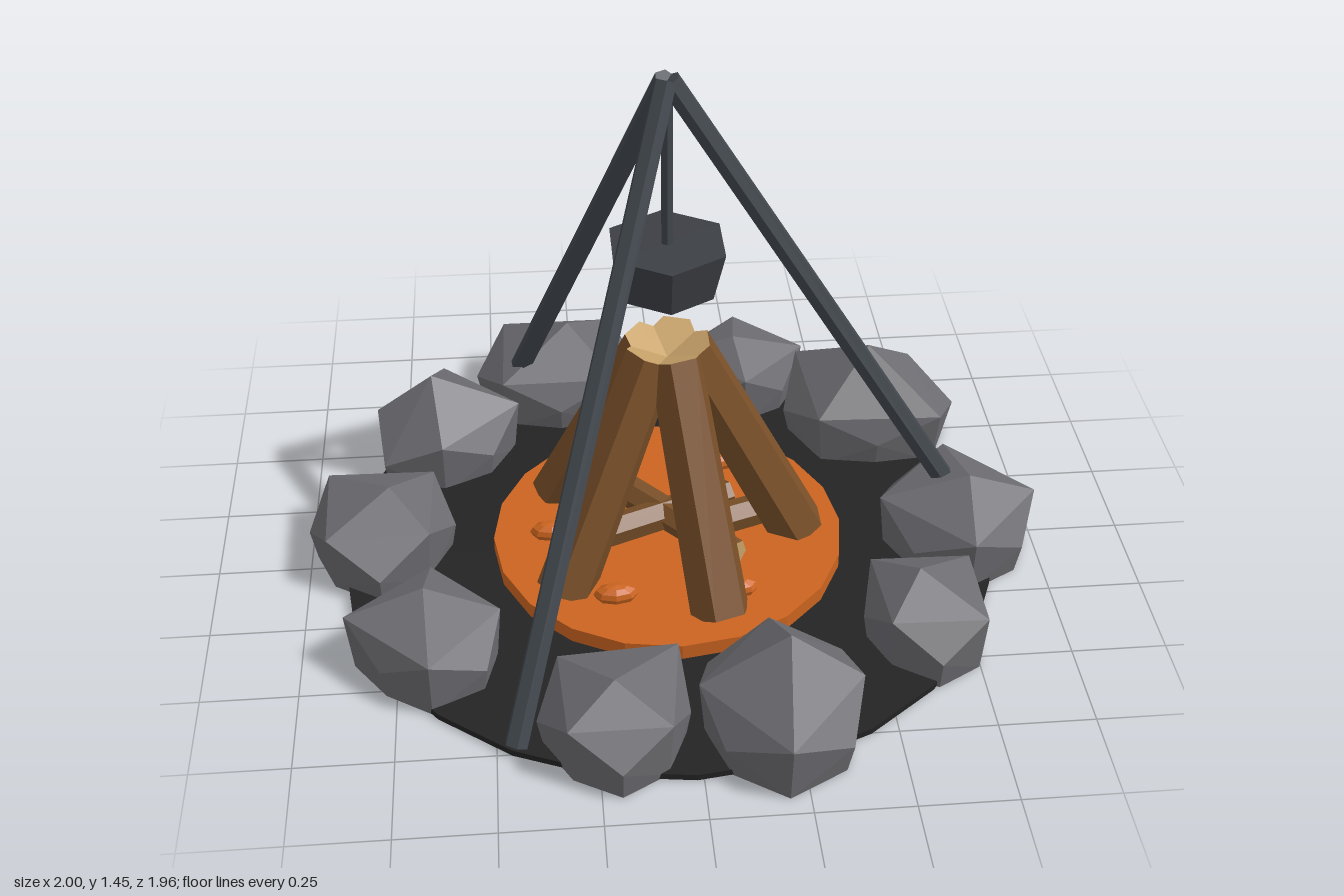
import * as THREE from 'three';
import { ConvexGeometry } from 'three/addons/geometries/ConvexGeometry.js';

const paint = (name, color) => {
  const m = new THREE.MeshStandardMaterial({ color });
  m.name = name;
  m.flatShading = true;
  return m;
};

export function createModel() {
  const stone = paint('stone grey', 0x6c6c71);
  const ash = paint('ash black', 0x232323);
  const ember = paint('ember orange', 0xcb641f);
  const bark = paint('bark brown', 0x7a5029);
  const cutWood = paint('cut wood tan', 0xc8a269);
  const iron = paint('iron', 0x41474d);
  const potIron = paint('pot iron', 0x3c3f45);

  const model = new THREE.Group();
  model.name = 'campfire';
  // everything but the stones is arranged around the fire's axis
  const fire = new THREE.Group();
  fire.name = 'fire';
  fire.position.set(-0.017, 0, -0.015);
  model.add(fire);

  const add = (name, geometry, material, parent = fire) => {
    const mesh = new THREE.Mesh(geometry, material);
    mesh.name = name;
    parent.add(mesh);
    return mesh;
  };
  const disc = (name, rTop, rBottom, y0, y1, sides, material) => {
    const m = add(name, new THREE.CylinderGeometry(rTop, rBottom, y1 - y0, sides), material);
    m.position.y = (y0 + y1) / 2;
    return m;
  };
  // six-sided bar from a to b
  const bar = (name, a, b, rTop, rBottom, material, turn = 0) => {
    const dir = b.clone().sub(a);
    const geometry = new THREE.CylinderGeometry(rTop, rBottom, dir.length(), 6);
    geometry.rotateY(turn);
    const m = add(name, geometry, material);
    m.position.copy(a).add(b).multiplyScalar(0.5);
    m.quaternion.setFromUnitVectors(new THREE.Vector3(0, 1, 0), dir.normalize());
    return m;
  };
  const polar = (r, angle, y) => new THREE.Vector3(r * Math.cos(angle), y, r * Math.sin(angle));

  // ground layers
  disc('ashBed', 0.89, 0.89, 0.015, 0.032, 24, ash);
  disc('emberBed', 0.48, 0.48, 0.032, 0.075, 20, ember);

  // glowing coals
  for (let i = 0; i < 6; i++) {
    const coal = add('coal', new THREE.SphereGeometry(1, 8, 6), ember);
    coal.position.copy(polar(0.32, i * Math.PI / 3, 0.09));
    coal.scale.set(0.06, 0.028, 0.033);
  }

  // upright logs leaning together
  const wood = [bark, cutWood, cutWood];
  for (let i = 0; i < 5; i++) {
    const a = i * Math.PI * 2 / 5;
    bar('leaningLog', polar(0.36, a, 0.06), polar(0.052, a, 0.677), 0.072, 0.082, wood, -a);
  }

  // small logs lying on the embers
  const lying = [[-0.23, 0.065, 0.18, -0.1], [-0.13, -0.17, 0.17, 0.17], [0.04, 0.05, 0.36, -0.06]];
  for (const [x0, z0, x1, z1] of lying) {
    bar('lyingLog', new THREE.Vector3(x0, 0.11, z0), new THREE.Vector3(x1, 0.11, z1), 0.043, 0.045, wood);
  }

  // tripod, hanging rod and pot
  for (let i = 0; i < 3; i++) {
    const a = i * Math.PI * 2 / 3;
    bar('tripodLeg', polar(0.87, a, 0.032), polar(0.006, a, 1.452), 0.029, 0.031, iron);
  }
  disc('hangingRod', 0.016, 0.016, 0.98, 1.44, 6, iron);
  disc('pot', 0.163, 0.13, 0.865, 1.0, 6, potIron);

  // stone ring: centre x, centre z, height, then the radius at eight equal angles
  const stones = [
    [-0.29, -0.765, 0.28, 0.26, 0.24, 0.21, 0.24, 0.25, 0.23, 0.22, 0.23],
    [0.26, -0.73, 0.24, 0.19, 0.17, 0.18, 0.19, 0.18, 0.21, 0.18, 0.19],
    [0.62, -0.51, 0.30, 0.26, 0.26, 0.20, 0.24, 0.25, 0.27, 0.21, 0.21],
    [0.785, 0.03, 0.26, 0.21, 0.21, 0.23, 0.21, 0.22, 0.22, 0.23, 0.22],
    [0.63, 0.42, 0.25, 0.15, 0.18, 0.20, 0.17, 0.17, 0.19, 0.18, 0.18],
    [0.20, 0.72, 0.31, 0.21, 0.23, 0.25, 0.21, 0.20, 0.23, 0.23, 0.26],
    [-0.20, 0.73, 0.25, 0.18, 0.18, 0.20, 0.18, 0.20, 0.20, 0.18, 0.23],
    [-0.66, 0.40, 0.24, 0.18, 0.20, 0.21, 0.18, 0.22, 0.20, 0.18, 0.18],
    [-0.80, -0.05, 0.25, 0.20, 0.19, 0.23, 0.20, 0.20, 0.21, 0.21, 0.20],
    [-0.635, -0.50, 0.30, 0.22, 0.20, 0.21, 0.24, 0.19, 0.20, 0.20, 0.22],
  ];
  stones.forEach(([x, z, height, ...radii], n) => {
    const points = [new THREE.Vector3(0.03 * Math.cos(n * 2.4), height, 0.03 * Math.sin(n * 2.4))];
    radii.forEach((r, i) => {
      const a = i * Math.PI / 4;
      const shoulder = (i + n) % 2 ? 0.18 : 0.1;
      points.push(polar(r, a, shoulder), polar(r * 0.92, a, 0.012));
    });
    add('stone', new ConvexGeometry(points), stone, model).position.set(x, 0, z);
  });

  return model;
}
